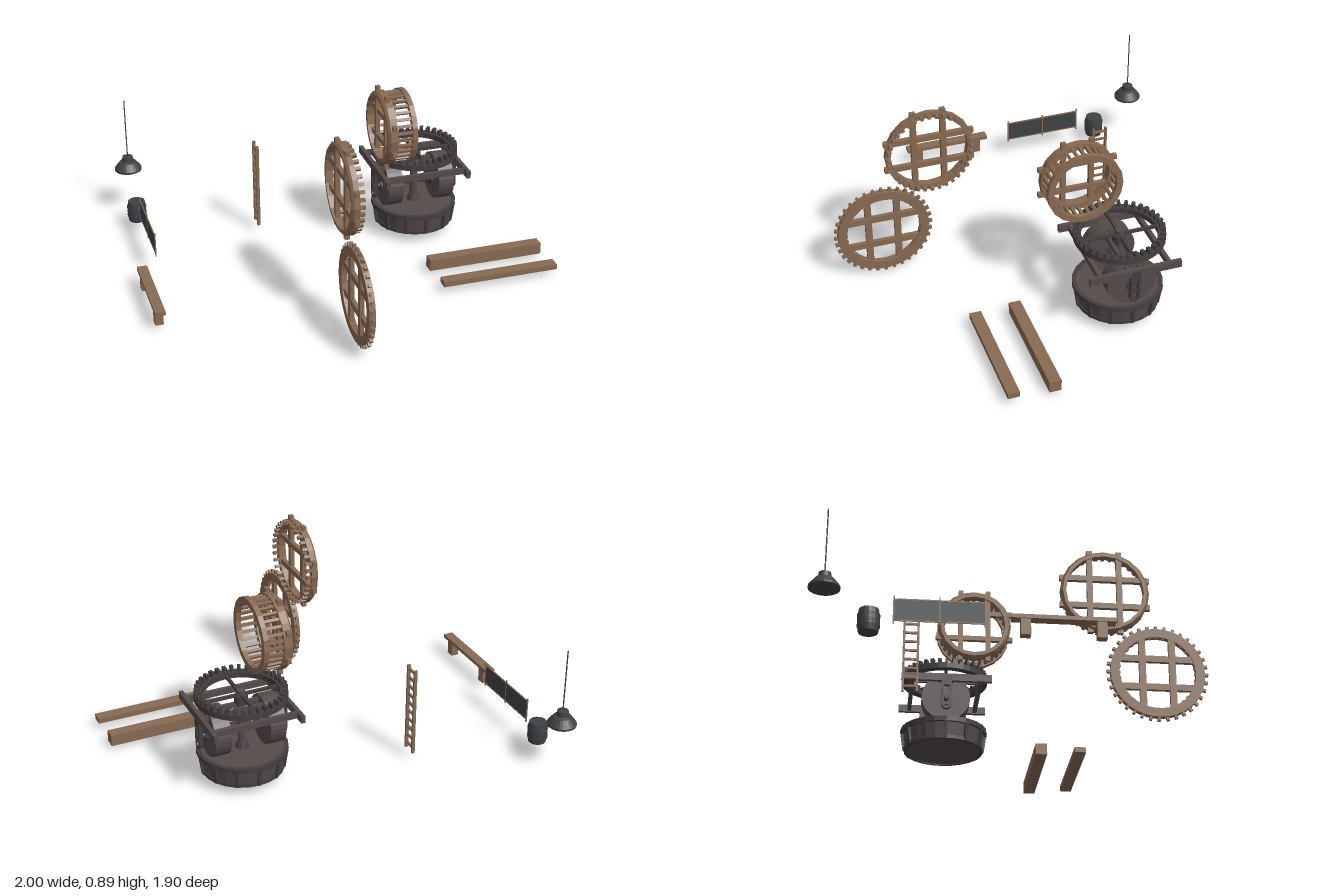
import * as THREE from 'three';

const material = (color) => new THREE.MeshStandardMaterial({ color, flatShading: true });

export function createModel() {
  const model = new THREE.Group();
  const wood = material(0x876a52);
  const iron = material(0x554b4b);
  const darkIron = material(0x443e3f);
  const steel = material(0x3f4244);

  function group(name, x = 0, y = 0, z = 0, parent = model) {
    const g = new THREE.Group();
    g.name = name;
    g.position.set(x, y, z);
    parent.add(g);
    return g;
  }
  function mesh(parent, name, geometry, mat, x = 0, y = 0, z = 0) {
    const m = new THREE.Mesh(geometry, mat);
    m.name = name;
    m.position.set(x, y, z);
    parent.add(m);
    return m;
  }
  const box = (parent, name, w, h, d, mat, x, y, z) =>
    mesh(parent, name, new THREE.BoxGeometry(w, h, d), mat, x, y, z);
  const cyl = (parent, name, rTop, rBottom, h, sides, mat, x, y, z) =>
    mesh(parent, name, new THREE.CylinderGeometry(rTop, rBottom, h, sides), mat, x, y, z);
  const lathe = (parent, name, points, sides, mat) =>
    mesh(parent, name, new THREE.LatheGeometry(points.map((p) => new THREE.Vector2(...p)), sides), mat);

  // Rectangular-section ring around y with a small chamfer on its lower outer edge
  function ring(parent, name, inner, outer, y0, y1, sides, mat, chamfer = 0) {
    const points = [[inner, y0], [outer - chamfer, y0]];
    if (chamfer) points.push([outer, y0 + chamfer]);
    points.push([outer, y1], [inner, y1], [inner, y0]);
    return lathe(parent, name, points, sides, mat);
  }
  // Evenly spaced boxes around y: w radial, h along the axis, d tangential
  function around(parent, name, count, radius, y, w, h, d, mat, tilt = 0) {
    for (let i = 0; i < count; i++) {
      const holder = group(name + 'Holder', 0, 0, 0, parent);
      holder.rotation.y = (i / count) * Math.PI * 2;
      box(holder, name, w, h, d, mat, radius, y, 0).rotation.z = tilt;
    }
  }
  // Two pairs of crossing bars
  function crossBars(parent, offset, length, width, thick, y) {
    for (const s of [-1, 1]) {
      box(parent, 'spokeBar', length, thick, width, wood, 0, y, s * offset);
      box(parent, 'crossBar', width, thick, length, wood, s * offset, y + 0.004, 0);
    }
  }
  // Wheel group whose local y axis points along +x
  function wheel(name, x, y, z) {
    const g = group(name, x, y, z);
    g.rotation.z = -Math.PI / 2;
    return g;
  }

  // Face gear with pegs on one side
  const face = wheel('faceGear', -0.145, 0.685, 0.455);
  ring(face, 'rim', 0.192, 0.22, 0, 0.038, 20, wood, 0.012);
  crossBars(face, 0.073, 0.444, 0.028, 0.022, 0.02);
  around(face, 'peg', 36, 0.206, 0.05, 0.016, 0.03, 0.016, wood);

  // Spur gear with radial teeth
  const spur = wheel('spurGear', -0.145, 0.26, 0.7);
  ring(spur, 'rim', 0.186, 0.23, 0, 0.03, 32, wood);
  crossBars(spur, 0.073, 0.41, 0.032, 0.02, 0.012);
  around(spur, 'tooth', 36, 0.232, 0.015, 0.03, 0.016, 0.014, wood);
  around(spur, 'innerPin', 36, 0.186, 0.015, 0.012, 0.012, 0.01, wood);

  // Lantern drum: two rims joined by staves
  const drum = wheel('lanternDrum', 0.25, 0.665, -0.155);
  ring(drum, 'rim', 0.156, 0.187, 0, 0.048, 20, wood, 0.012);
  ring(drum, 'rim', 0.156, 0.187, 0.125, 0.15, 20, wood);
  crossBars(drum, 0.07, 0.39, 0.024, 0.022, 0.025);
  around(drum, 'stave', 32, 0.171, 0.085, 0.014, 0.09, 0.014, wood);

  // Edge mill: pan, runner stones, frame and crown gear
  const mill = group('edgeMill', 0.5, 0, -0.29);
  const pan = group('pan', 0, 0, 0, mill);
  cyl(pan, 'basin', 0.208, 0.193, 0.102, 24, iron, 0, 0.115, 0);
  ring(pan, 'rimBand', 0.2, 0.219, 0.146, 0.172, 24, darkIron);
  ring(pan, 'footBand', 0.185, 0.201, 0.06, 0.078, 24, darkIron);
  around(pan, 'rib', 12, 0.206, 0.115, 0.014, 0.105, 0.016, darkIron, -0.15);
  for (const s of [-1, 1]) {
    const stone = cyl(mill, 'runnerStone', 0.122, 0.122, 0.08, 32, iron, s * 0.137, 0.288, 0);
    stone.rotation.z = Math.PI / 2;
    const hub = cyl(mill, 'stoneHub', 0.03, 0.03, 0.1, 12, darkIron, s * 0.137, 0.272, 0);
    hub.rotation.z = Math.PI / 2;

    // Slotted hanger carrying the axle
    const plate = new THREE.Shape();
    plate.moveTo(0.026, 0.15).lineTo(-0.026, 0.15).lineTo(-0.026, 0);
    plate.absarc(0, 0, 0.026, Math.PI, Math.PI * 2, false);
    const slot = new THREE.Path();
    slot.absarc(0, 0, 0.013, 0, Math.PI, true);
    slot.lineTo(-0.013, 0.1).lineTo(0.013, 0.1).lineTo(0.013, 0);
    plate.holes.push(slot);
    const hangerGeometry = new THREE.ExtrudeGeometry(plate, { depth: 0.02, bevelEnabled: false, curveSegments: 8 });
    hangerGeometry.translate(0, 0, -0.01);
    const hanger = mesh(mill, 'axleHanger', hangerGeometry, darkIron, s * 0.214, 0.235, 0);
    hanger.rotation.y = Math.PI / 2;

    box(mill, 'sideBeam', 0.02, 0.038, 0.455, iron, s * 0.214, 0.378, 0);
    box(mill, 'crossBeam', 0.45, 0.03, 0.02, iron, 0, 0.378, s * 0.172);
    box(mill, 'innerBeam', 0.43, 0.026, 0.016, iron, 0, 0.378, s * 0.03);
  }
  const axle = cyl(mill, 'axle', 0.012, 0.012, 0.45, 10, darkIron, 0, 0.272, 0);
  axle.rotation.z = Math.PI / 2;
  cyl(mill, 'centralShaft', 0.02, 0.02, 0.31, 12, iron, 0, 0.315, 0);
  cyl(mill, 'shaftFoot', 0.025, 0.035, 0.03, 12, darkIron, 0, 0.18, 0);
  cyl(mill, 'shaftCollar', 0.033, 0.033, 0.04, 12, darkIron, 0, 0.425, 0);
  ring(mill, 'crownRim', 0.182, 0.22, 0.432, 0.46, 32, darkIron);
  around(mill, 'crownTooth', 36, 0.205, 0.472, 0.026, 0.026, 0.016, darkIron);
  for (const turn of [0, Math.PI / 2]) {
    box(mill, 'crownSpoke', 0.38, 0.014, 0.014, darkIron, 0, 0.446, 0).rotation.y = turn;
  }

  // Loose timber beams
  box(model, 'thickBeam', 0.593, 0.058, 0.058, wood, 0.703, 0.06, 0.2);
  box(model, 'thinBeam', 0.593, 0.027, 0.058, wood, 0.703, 0.063, 0.398);

  // Bench
  const bench = group('bench', -0.975, 0, 0.135);
  box(bench, 'seat', 0.05, 0.018, 0.45, wood, 0, 0.113, 0);
  for (const s of [-1, 1]) box(bench, 'leg', 0.04, 0.075, 0.043, wood, 0, 0.067, s * 0.163);

  // Ladder
  const ladder = group('ladder', -0.29, 0, -0.49);
  for (const s of [-1, 1]) box(ladder, 'rail', 0.016, 0.453, 0.01, wood, 0, 0.275, s * 0.033);
  for (let i = 0; i < 10; i++) box(ladder, 'rung', 0.01, 0.01, 0.066, wood, -0.003, 0.075 + i * 0.045, 0);

  // Thin fence panel
  const fence = group('fencePanel', -0.885, 0, -0.388);
  box(fence, 'panel', 0.003, 0.094, 0.39, steel, 0, 0.172, 0);
  for (const y of [0.122, 0.222]) box(fence, 'rail', 0.005, 0.006, 0.395, wood, 0, y, 0);
  for (const z of [-0.197, 0, 0.197]) box(fence, 'post', 0.006, 0.13, 0.006, wood, 0, 0.172, z);

  // Barrel
  const barrel = group('barrel', -0.885, 0.058, -0.69);
  lathe(barrel, 'body', [[0, 0], [0.043, 0], [0.048, 0.03], [0.049, 0.054], [0.048, 0.078], [0.043, 0.108], [0, 0.108]], 20, steel);
  for (const y of [0.026, 0.074]) ring(barrel, 'hoop', 0.045, 0.05, y, y + 0.008, 20, steel);

  // Hanging lamp
  const lamp = group('hangingLamp', -0.885, 0, -0.885);
  lathe(lamp, 'shade', [[0, 0.258], [0.07, 0.258], [0.07, 0.268], [0.044, 0.302], [0.03, 0.308], [0.027, 0.333], [0.012, 0.337], [0, 0.337]], 24, steel);
  cyl(lamp, 'cord', 0.003, 0.003, 0.315, 6, steel, 0, 0.493, 0);

  return model;
}
